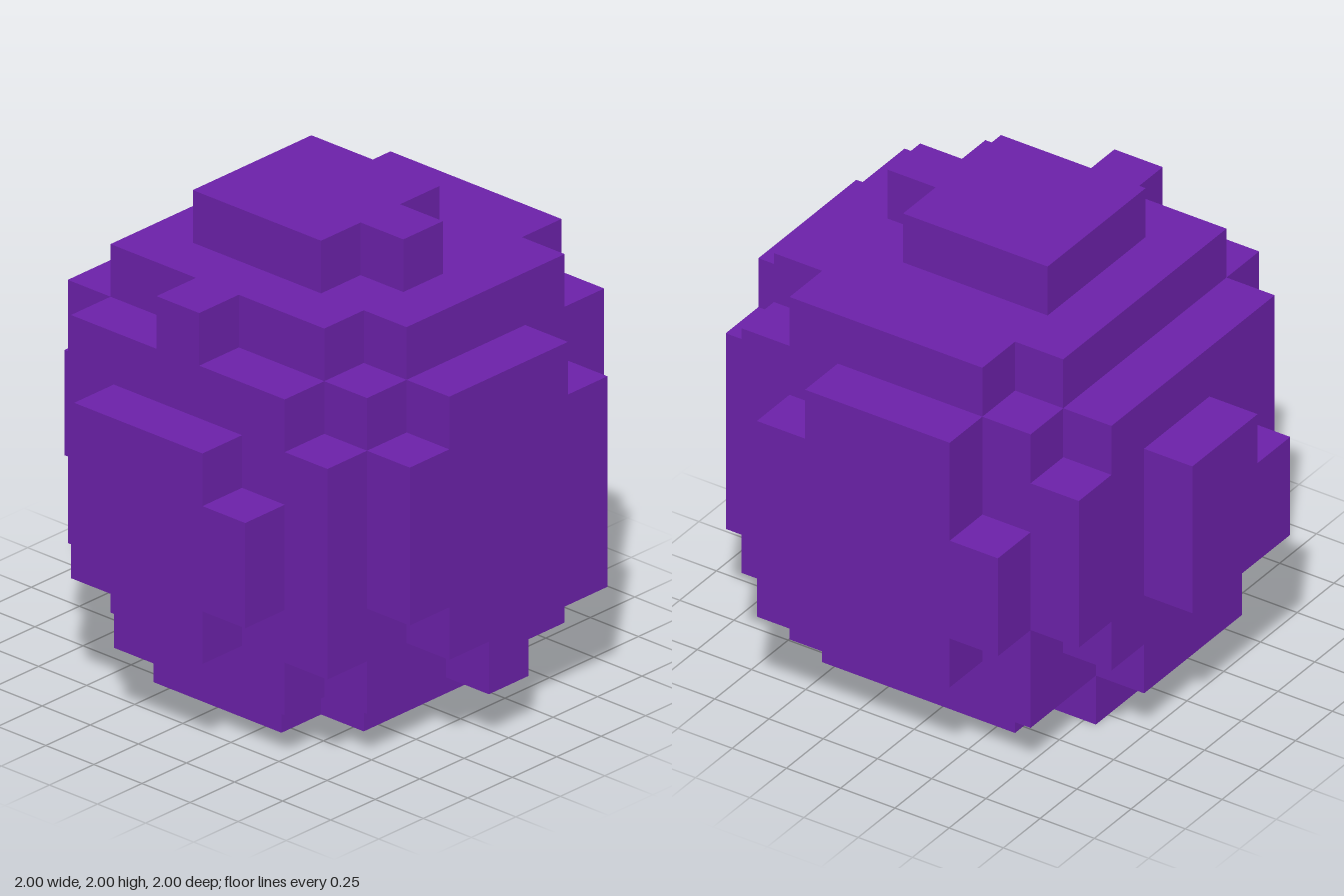
import * as THREE from 'three';
import { mergeGeometries } from 'three/addons/utils/BufferGeometryUtils.js';

const HALF = 4;                  // cells run from -4 to 4 on each axis
const CELL = 2 / (2 * HALF + 1); // edge of one block
// Slightly off-centre sphere, in cells, that decides which blocks are filled
const CENTRE = new THREE.Vector3(0.315, -0.25, -0.2);
const RADIUS_SQ = 21.05 + CENTRE.lengthSq();

function filled(p) {
  const inGrid = Math.max(Math.abs(p.x), Math.abs(p.y), Math.abs(p.z)) <= HALF;
  return inGrid && p.distanceToSquared(CENTRE) <= RADIUS_SQ;
}

// One square per exposed side of a block
function blockBallGeometry() {
  const forward = new THREE.Vector3(0, 0, 1);
  const sides = [
    [1, 0, 0], [-1, 0, 0], [0, 1, 0], [0, -1, 0], [0, 0, 1], [0, 0, -1],
  ].map((d) => {
    const dir = new THREE.Vector3(...d);
    const turn = new THREE.Quaternion().setFromUnitVectors(forward, dir);
    const square = new THREE.PlaneGeometry(CELL, CELL)
      .translate(0, 0, CELL / 2)
      .applyQuaternion(turn);
    return { dir, square };
  });

  const faces = [];
  for (let x = -HALF; x <= HALF; x++) {
    for (let y = -HALF; y <= HALF; y++) {
      for (let z = -HALF; z <= HALF; z++) {
        const p = new THREE.Vector3(x, y, z);
        if (!filled(p)) continue;
        for (const { dir, square } of sides) {
          if (filled(p.clone().add(dir))) continue;
          faces.push(square.clone().translate(x * CELL, y * CELL + 1, z * CELL));
        }
      }
    }
  }
  return mergeGeometries(faces);
}

export function createModel() {
  const purple = new THREE.MeshStandardMaterial({ color: 0x6b21a8 });
  purple.name = 'purple';

  const ball = new THREE.Mesh(blockBallGeometry(), purple);
  ball.name = 'blockBall';

  const model = new THREE.Group();
  model.name = 'blockBallModel';
  model.add(ball);
  return model;
}
